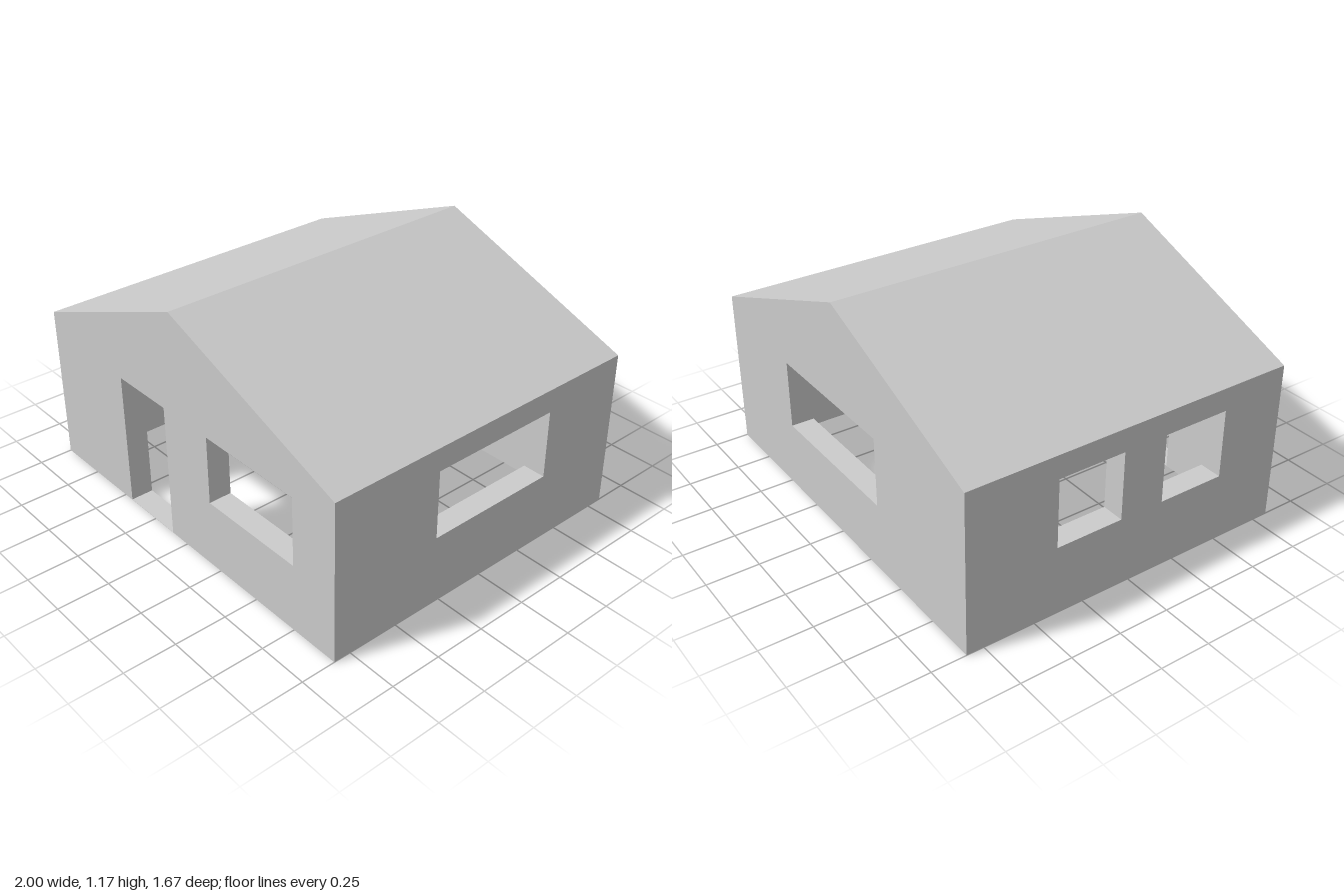
import * as THREE from 'three';

const U = 1 / 9;          // building module, also the wall thickness
const SILL = 0.002;       // thin threshold under the door
const HALF_X = 1, HALF_Z = 7.5 * U;
const WALL_TOP = SILL + 7 * U;
const HEAD = SILL + 6 * U, WINDOW_BASE = SILL + 3 * U;

const material = new THREE.MeshStandardMaterial({ color: 0xcccccc, flatShading: true });

const polygon = (points) => points.map(([x, y]) => new THREE.Vector2(x, y));

// Upright wall panel along u with rectangular openings [u0, u1, y0]
function wallGeometry(halfLength, openings) {
  const shape = new THREE.Shape(polygon([
    [-halfLength, 0], [halfLength, 0], [halfLength, WALL_TOP], [-halfLength, WALL_TOP],
  ]));
  for (const [u0, u1, y0] of openings) {
    shape.holes.push(new THREE.Path(polygon([[u0, y0], [u0, HEAD], [u1, HEAD], [u1, y0]])));
  }
  return new THREE.ExtrudeGeometry(shape, { depth: U, bevelEnabled: false });
}

export function createModel() {
  const group = new THREE.Group();
  group.name = 'house';
  const add = (name, geometry) => {
    const mesh = new THREE.Mesh(geometry, material);
    mesh.name = name;
    group.add(mesh);
  };

  // Front wall with door and window, back wall with one wide window
  add('frontWall', wallGeometry(HALF_X, [
    [-4 * U, -U, SILL],
    [1.75 * U, 6.75 * U, WINDOW_BASE],
  ]).translate(0, 0, HALF_Z - U));
  add('backWall', wallGeometry(HALF_X, [
    [-3 * U, 4 * U, WINDOW_BASE],
  ]).translate(0, 0, -HALF_Z));

  // Side walls fitted between them; u runs along z
  add('leftWall', wallGeometry(HALF_Z - U, [
    [-3.5 * U, 2.5 * U, WINDOW_BASE],
  ]).rotateY(-Math.PI / 2).translate(HALF_X, 0, 0));
  add('rightWall', wallGeometry(HALF_Z - U, [
    [-3.5 * U, -0.5 * U, WINDOW_BASE],
    [1.5 * U, 4.5 * U, WINDOW_BASE],
  ]).rotateY(-Math.PI / 2).translate(-HALF_X + U, 0, 0));

  // Solid gable roof with a flat ceiling and a slightly off-centre ridge
  const gable = new THREE.Shape(polygon([
    [-HALF_X, WALL_TOP], [HALF_X, WALL_TOP], [HALF_X, WALL_TOP + SILL],
    [-0.25 * U, 1.166], [-HALF_X, WALL_TOP + SILL],
  ]));
  add('roof', new THREE.ExtrudeGeometry(gable, { depth: 2 * HALF_Z, bevelEnabled: false })
    .translate(0, 0, -HALF_Z));

  return group;
}
